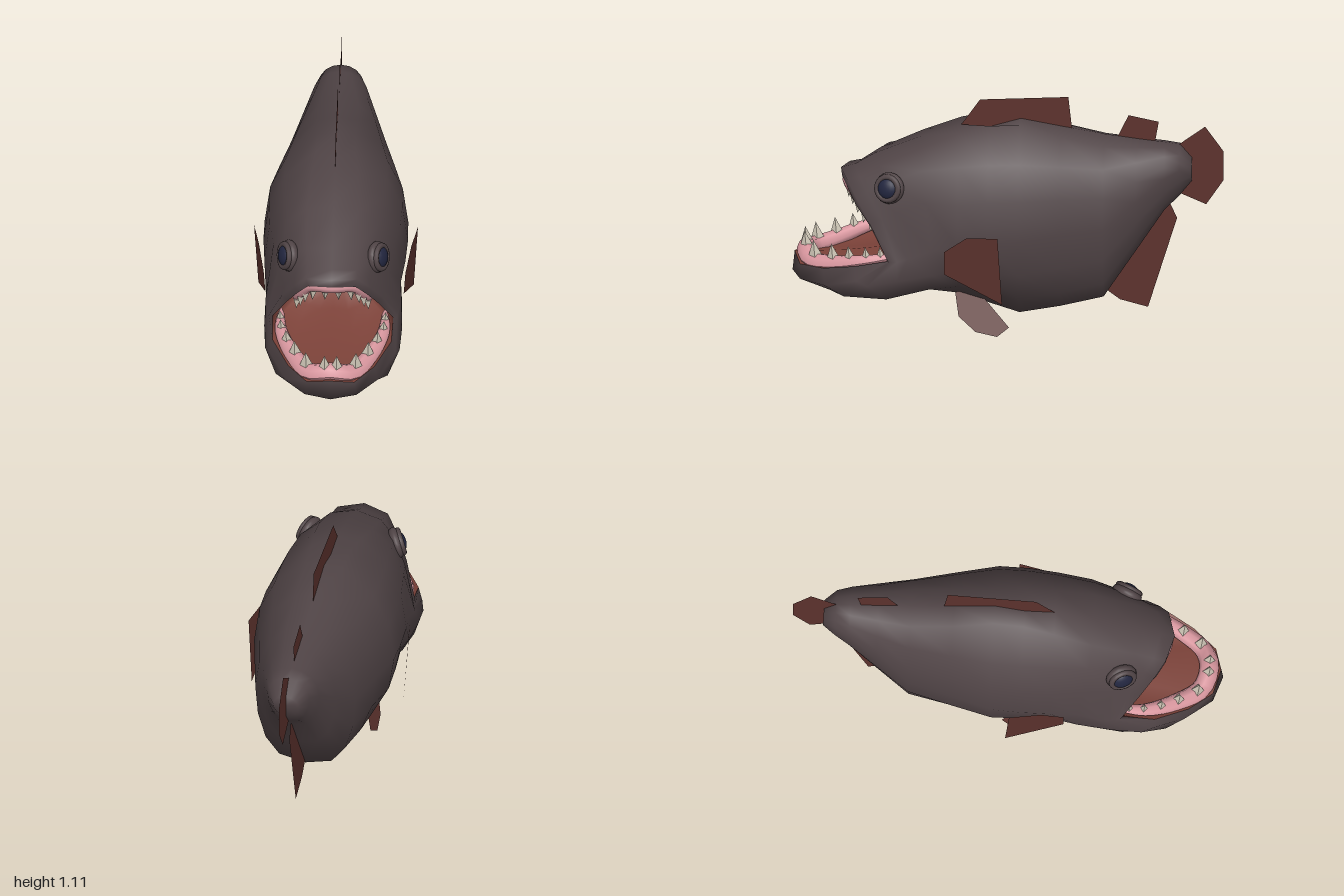
import * as THREE from 'three';

const mat = (color, extra = {}) => new THREE.MeshStandardMaterial({ color, ...extra });
const skin = mat(0x504446);
const finMat = mat(0x5c322d, { side: THREE.DoubleSide });
const mouthMat = mat(0x7c4239, { side: THREE.DoubleSide });
const gumMat = mat(0xd9979f);
const toothMat = mat(0xd0c8b8, { flatShading: true });
const eyeMat = mat(0x22263f);

const V = (x, y, z) => new THREE.Vector3(x, y, z);
const add = (group, name, geo, material) => {
  const m = new THREE.Mesh(geo, material);
  m.name = name;
  group.add(m);
  return m;
};

// Half ring (top to bottom on the +x side) -> closed ring
const mirrorRing = (half) => [
  ...half,
  ...half.slice(1, -1).reverse().map(([x, y, z]) => [-x, y, z]),
];

// Skin a list of closed rings
function loft(rings) {
  const n = rings[0].length;
  const index = [];
  for (let r = 0; r < rings.length - 1; r++) {
    for (let i = 0; i < n; i++) {
      const a = r * n + i, b = r * n + (i + 1) % n;
      index.push(a, a + n, b, b, a + n, b + n);
    }
  }
  const geo = new THREE.BufferGeometry();
  geo.setAttribute('position', new THREE.Float32BufferAttribute(rings.flat(2), 3));
  geo.setIndex(index);
  geo.computeVertexNormals();
  return geo;
}

// Trunk stations: z, top, bottom, half width, widest height, belly power, flat back, groove depth
const stations = [
  [-0.855, 0.77, 0.77, 0, 0.77, 1, 0, 0],
  [-0.855, 0.82, 0.71, 0.06, 0.77, 1, 0, 0],
  [-0.80, 0.885, 0.64, 0.10, 0.79, 0.8, 0, 0],
  [-0.73, 0.895, 0.57, 0.13, 0.76, 0.7, 0, 0],
  [-0.60, 0.91, 0.37, 0.18, 0.66, 0.67, 0, 0],
  [-0.45, 0.93, 0.14, 0.238, 0.54, 0.67, 0, 0],
  [-0.25, 0.965, 0.09, 0.287, 0.53, 0.8, 0.4, 0],
  [-0.06, 1.0, 0.05, 0.333, 0.51, 1.03, 1, 0],
  [0.08, 0.998, 0.10, 0.335, 0.50, 1.03, 0.9, 0.04],
  [0.22, 0.985, 0.15, 0.327, 0.48, 1.03, 0.4, 0.02],
];

function trunkRing([z, top, bottom, w, mid, power, flat, groove]) {
  const half = [];
  for (let i = 0; i <= 8; i++) {
    const a = (i / 8) * Math.PI, c = Math.cos(a);
    const s = Math.max(0, Math.sin(a));
    let x = w * (i > 4 ? s ** power : s), y = mid + c * (c > 0 ? top - mid : mid - bottom);
    if (i === 0) y -= groove;
    if (i === 1) { x -= 0.04 * flat; y += (top - y) * flat; }
    half.push([i % 8 ? x : 0, y, z]);
  }
  return mirrorRing(half);
}

// Head half rings sweep forward and split around the open mouth
const cheek = [[0, .905, .40], [.125, .888, .40], [.215, .81, .39], [.28, .675, .37], [.31, .45, .34],
  [.315, .33, .34], [.28, .25, .35], [.16, .205, .36], [0, .19, .36]];
const brow = [[0, .815, .62], [.12, .80, .595], [.19, .74, .56], [.255, .62, .51], [.315, .41, .45],
  [.32, .30, .50], [.29, .20, .55], [.17, .165, .57], [0, .155, .57]];
const jaw = [[0, .76, .71], [.115, .74, .685], [.172, .685, .645], [.228, .57, .575], [.303, .39, .50],
  [.312, .27, .64], [.26, .20, .75], [.14, .185, .82], [0, .185, .85]];
const lip = [[0, .742, .775], [.12, .727, .74], [.175, .655, .695], [.235, .555, .63], [.298, .385, .54],
  [.295, .29, .69], [.215, .235, .84], [.12, .23, .96], [0, .23, 1]];
const rim = [[0, .70, .77], [.11, .685, .74], [.16, .62, .70], [.205, .53, .63], [.28, .385, .545],
  [.275, .355, .70], [.20, .315, .85], [.11, .30, .96], [0, .325, .99]];

// Curve following part of the mouth rim from side to side
function gumCurve(points, sx, dy, dz) {
  const side = points.map(([x, y, z]) => V(x * sx, y + dy, z + dz));
  const other = side.slice(0, -1).reverse().map((p) => V(-p.x, p.y, p.z));
  return new THREE.CatmullRomCurve3([...side, ...other]);
}

// Tube that thins out at both ends
function taperedTube(curve, radius) {
  const seg = 28, radial = 8;
  const geo = new THREE.TubeGeometry(curve, seg, radius, radial);
  const pos = geo.attributes.position, p = V(0, 0, 0);
  for (let i = 0; i < pos.count; i++) {
    const u = Math.floor(i / (radial + 1)) / seg;
    const k = Math.sqrt(Math.max(0, Math.sin(Math.PI * u)));
    p.fromBufferAttribute(pos, i).sub(curve.getPointAt(u)).multiplyScalar(k).add(curve.getPointAt(u));
    pos.setXYZ(i, p.x, p.y, p.z);
  }
  geo.computeVertexNormals();
  return geo;
}

// Row of pointed teeth; dir is +1 up or -1 down
function teeth(group, name, curve, spots, dir) {
  spots.forEach(([u, h]) => [u, 1 - u].forEach((t) => {
    const geo = new THREE.ConeGeometry(h * 0.4, h, 4);
    geo.translate(0, h / 2, 0);
    const tooth = add(group, name, geo, toothMat);
    const p = curve.getPointAt(t);
    tooth.position.set(p.x, p.y + dir * 0.015, p.z);
    tooth.quaternion.setFromUnitVectors(V(0, 1, 0), V(p.x * 0.3, dir, 0.12).normalize());
  }));
}

// Flat fin from a (z, y) outline; xAt gives its sideways position
function fin(outline, xAt = () => 0) {
  const geo = new THREE.ShapeGeometry(new THREE.Shape(outline.map(([z, y]) => new THREE.Vector2(z, y))));
  const pos = geo.attributes.position;
  for (let i = 0; i < pos.count; i++) {
    const z = pos.getX(i), y = pos.getY(i);
    pos.setXYZ(i, xAt(z, y), y, z);
  }
  geo.computeVertexNormals();
  return geo;
}

export function createModel() {
  const fish = new THREE.Group();
  fish.name = 'fish';

  // Body and head
  const head = [cheek, brow, jaw, lip, rim].map(mirrorRing);
  add(fish, 'body', loft([...stations.map(trunkRing), ...head]), skin);

  // Mouth cavity, a rounded bowl closing at the throat
  const mouth = [0, 0.2, 0.4, 0.6, 0.8, 0.93, 1].map((f) => mirrorRing(rim.map(([x, y, z]) => {
    const k = Math.sqrt(1 - f * f);
    return [x * k, 0.46 + (y - 0.46) * k, z + (0.33 - z) * f];
  })));
  add(fish, 'mouthCavity', loft(mouth), mouthMat);

  // Gums and teeth
  const upper = gumCurve(rim.slice(0, 4).reverse(), 0.88, -0.016, -0.035);
  const lower = gumCurve(rim.slice(4), 0.86, 0.014, -0.055);
  add(fish, 'upperGum', taperedTube(upper, 0.034), gumMat);
  add(fish, 'lowerGum', taperedTube(lower, 0.045), gumMat);
  teeth(fish, 'upperTooth', upper, [[0.08, 0.05], [0.17, 0.055], [0.26, 0.06], [0.35, 0.065], [0.45, 0.06]], -1);
  teeth(fish, 'lowerTooth', lower,
    [[0.08, 0.045], [0.14, 0.055], [0.215, 0.07], [0.295, 0.085], [0.385, 0.095], [0.475, 0.085]], 1);

  // Eyes in raised sockets
  for (const s of [1, -1]) {
    const eye = new THREE.Group();
    eye.name = s > 0 ? 'leftEye' : 'rightEye';
    const socket = add(eye, 'eyeSocket', new THREE.SphereGeometry(0.074, 18, 12), skin);
    socket.scale.z = 0.5;
    const ring = add(eye, 'eyelid', new THREE.TorusGeometry(0.054, 0.014, 8, 20), skin);
    ring.position.z = 0.022;
    const ball = add(eye, 'eyeball', new THREE.SphereGeometry(0.05, 18, 12), eyeMat);
    ball.scale.z = 0.55;
    ball.position.z = 0.02;
    eye.position.set(s * 0.205, 0.72, 0.54);
    eye.quaternion.setFromUnitVectors(V(0, 0, 1), V(s * 0.88, 0.22, 0.38).normalize());
    fish.add(eye);
  }

  // Fins on the centre line
  add(fish, 'dorsalFin', fin([[.22, .96], [.13, 1.09], [-.28, 1.11], [-.30, .93], [0, .94]]), finMat);
  add(fish, 'rearDorsalFin', fin([[-.50, .90], [-.56, 1.025], [-.70, .995], [-.68, .88]]), finMat);
  add(fish, 'tailFin',
    fin([[-.76, .86], [-.915, .975], [-1, .855], [-1, .71], [-.92, .59], [-.76, .66]]), finMat);
  add(fish, 'analFin',
    fin([[-.74, .62], [-.785, .52], [-.65, .075], [-.52, .11], [-.44, .17], [-.58, .38]]), finMat);

  // Paired fins
  for (const s of [1, -1]) {
    const side = s > 0 ? 'left' : 'right';
    add(fish, side + 'PectoralFin',
      fin([[.28, .455], [.28, .34], [.01, .21], [.03, .545], [.175, .535]],
        (z, y) => s * (0.325 + 0.18 * (0.28 - z) + 0.07 * (y - 0.4))), finMat);
    add(fish, side + 'PelvicFin',
      fin([[.24, .20], [.22, .085], [.14, .02], [.04, 0], [-.015, .04], [.10, .16], [.12, .20]],
        (z, y) => s * (0.17 + 0.47 * (0.13 - y) + 0.02 * (z - 0.1))), finMat);
  }
  return fish;
}
